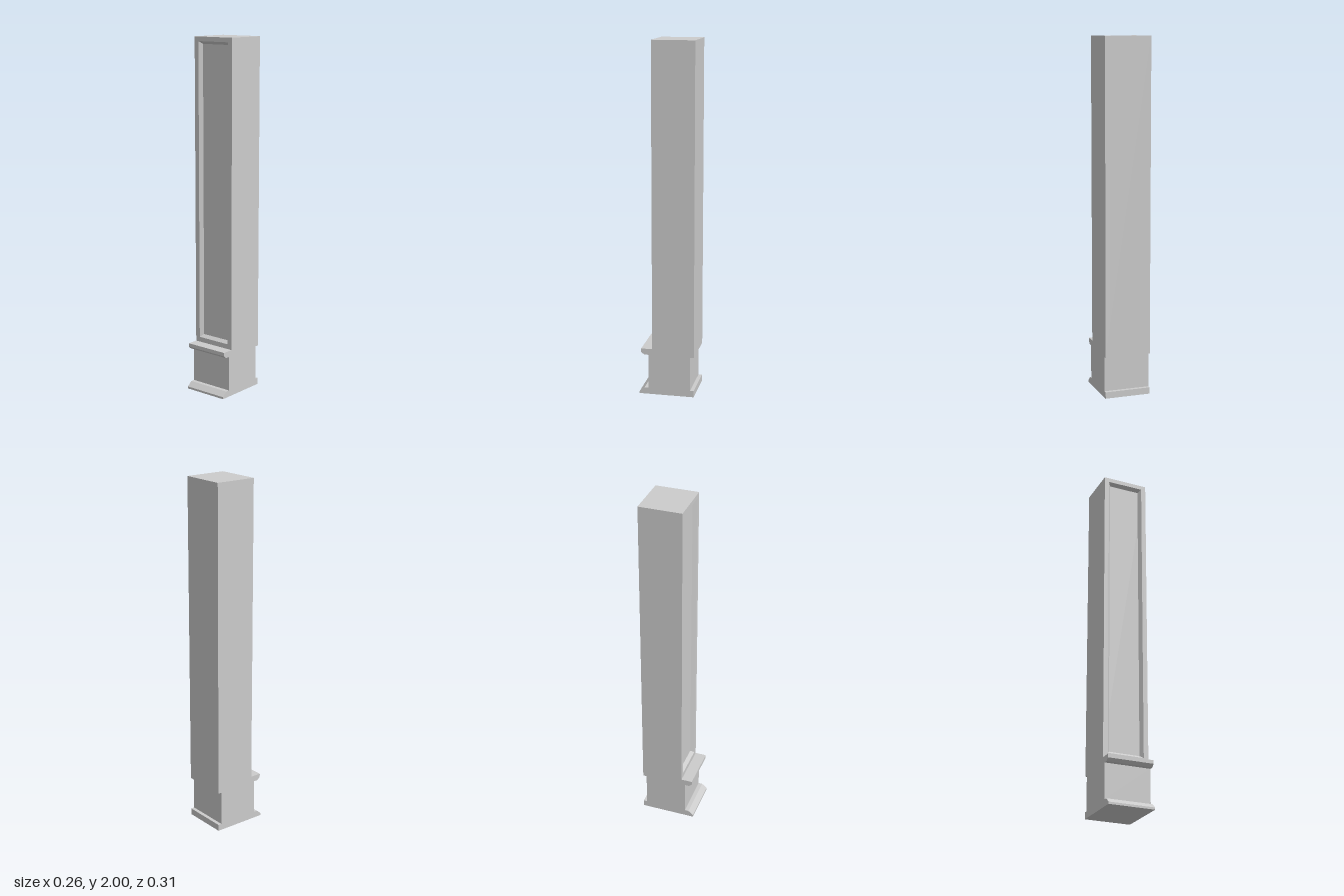
import * as THREE from 'three';

const WIDTH = 0.262, TOP = 2, BACK = -0.157;
const FRONT = 0.083, RECESS = 0.021; // shaft face and panel depth
const LEDGE = 0.27; // top of the cap moulding

const material = new THREE.MeshStandardMaterial({ color: 0xcccccc, flatShading: true });

function polygon(points, Type = THREE.Shape) {
  return new Type(points.map(([x, y]) => new THREE.Vector2(x, y)));
}

function rect(x0, y0, x1, y1) {
  return [[x0, y0], [x1, y0], [x1, y1], [x0, y1]];
}

// Side profile (z, y) swept across the full width
function sweep(name, points) {
  const geometry = new THREE.ExtrudeGeometry(polygon(points), { depth: WIDTH, bevelEnabled: false });
  geometry.translate(0, 0, -WIDTH / 2).rotateY(-Math.PI / 2);
  const mesh = new THREE.Mesh(geometry, material);
  mesh.name = name;
  return mesh;
}

// Border around the sunken panel; its opening narrows towards the panel floor
function panelFrame() {
  const hx = 0.104, y0 = 0.298, y1 = 1.975, slope = 0.015;
  const shape = polygon(rect(-WIDTH / 2, LEDGE, WIDTH / 2, TOP));
  shape.holes.push(polygon(rect(-hx, y0, hx, y1), THREE.Path));
  const geometry = new THREE.ExtrudeGeometry(shape, { depth: RECESS, bevelEnabled: false });
  const p = geometry.attributes.position;
  for (let i = 0; i < p.count; i++) {
    const x = p.getX(i), y = p.getY(i);
    if (p.getZ(i) < RECESS / 2 && Math.abs(x) < hx + 0.001) {
      p.setX(i, x - Math.sign(x) * slope);
      p.setY(i, y < 1 ? y + slope : y - slope);
    }
  }
  geometry.computeVertexNormals();
  const mesh = new THREE.Mesh(geometry, material);
  mesh.name = 'panelFrame';
  mesh.position.z = FRONT - RECESS;
  return mesh;
}

export function createModel() {
  const group = new THREE.Group();
  group.name = 'panelledPilaster';
  const floor = FRONT - RECESS;

  // Plinth, pedestal, cap moulding and shaft core in one profile
  group.add(sweep('pilasterBody', [
    [BACK, 0], [0.157, 0], [0.157, 0.012], [0.128, 0.037], [0.105, 0.037],
    [0.105, 0.235], [0.13, 0.235], [0.147, 0.25], [0.147, LEDGE],
    [floor, LEDGE], [floor, TOP], [BACK, TOP],
    [BACK, 0.235], [-0.136, 0.235], [-0.136, 0.037], [BACK, 0.037],
  ]));
  group.add(panelFrame());
  return group;
}
